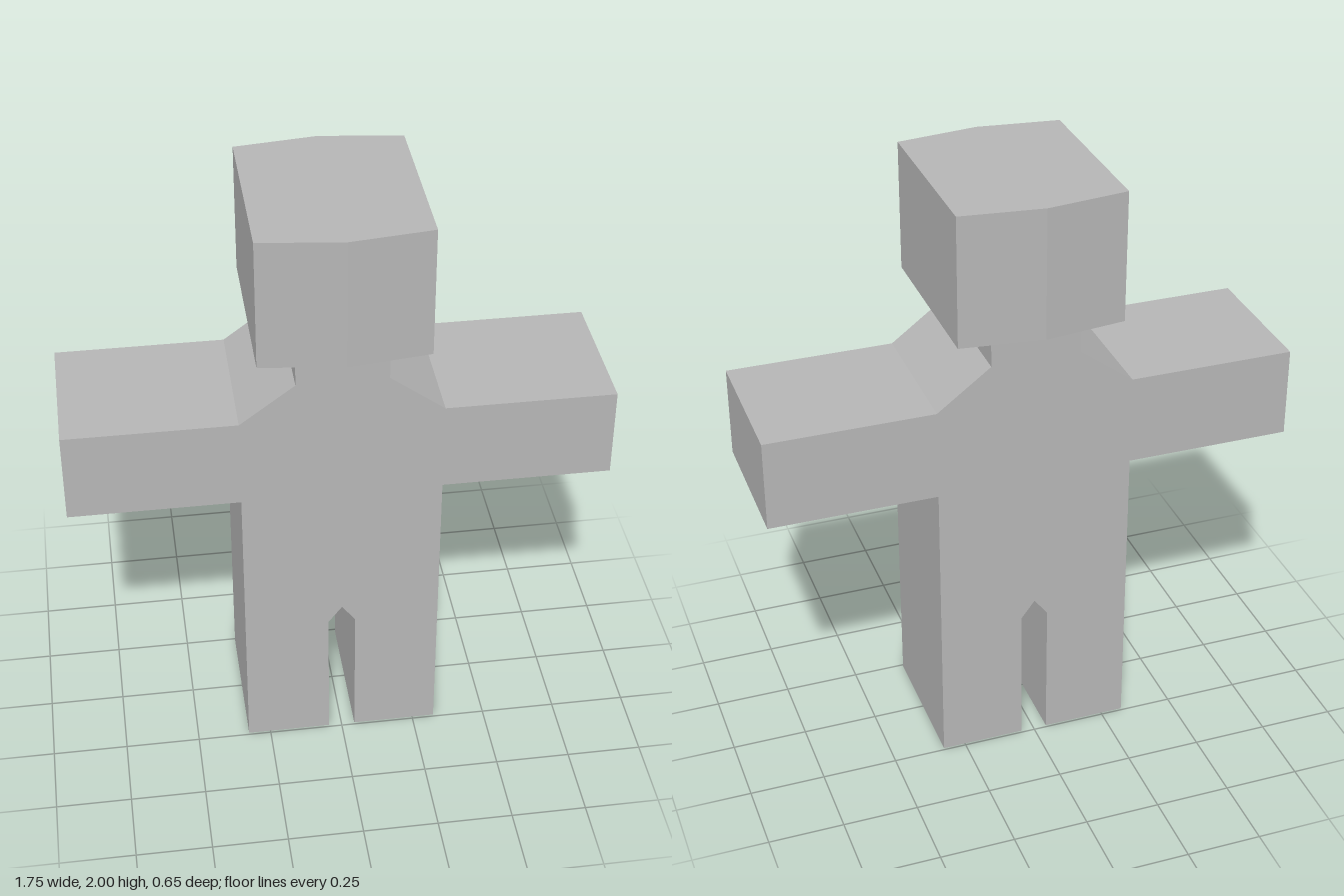
import * as THREE from 'three';

const grey = new THREE.MeshStandardMaterial({ color: 0xb6b6b6 });
grey.name = 'plain grey';

// Mirrors a half outline (+x side) across x = 0; points with x = 0 are kept once
function mirroredShape(half) {
  const other = half.filter(([x]) => x > 0).map(([x, y]) => [-x, y]).reverse();
  return new THREE.Shape([...half, ...other].map(([x, y]) => new THREE.Vector2(x, y)));
}

function slab(name, half, depth) {
  const geometry = new THREE.ExtrudeGeometry(mirroredShape(half), { depth, bevelEnabled: false });
  geometry.translate(0, 0, -depth / 2);
  const mesh = new THREE.Mesh(geometry, grey);
  mesh.name = name;
  return mesh;
}

export function createModel() {
  const model = new THREE.Group();
  model.name = 'figure';

  // Legs, torso, outstretched arms and neck share one flat outline
  model.add(slab('body', [
    [0, 0.54], [0.045, 0.48], [0.045, 0], // notch between the legs
    [0.325, 0], [0.325, 1.02],            // outer leg and side
    [0.877, 1.02], [0.877, 1.322],        // arm
    [0.325, 1.322], [0.147, 1.455],       // sloped shoulder
    [0.147, 1.566],                       // neck
  ], 0.484));

  // Head: six-sided plan with a shallow ridge at front and back, extruded upwards
  const head = slab('head', [[0, -0.327], [0.27, -0.293], [0.27, 0.293], [0, 0.327]], 0.434);
  head.geometry.rotateX(-Math.PI / 2);
  head.position.y = 1.783;
  model.add(head);

  return model;
}
